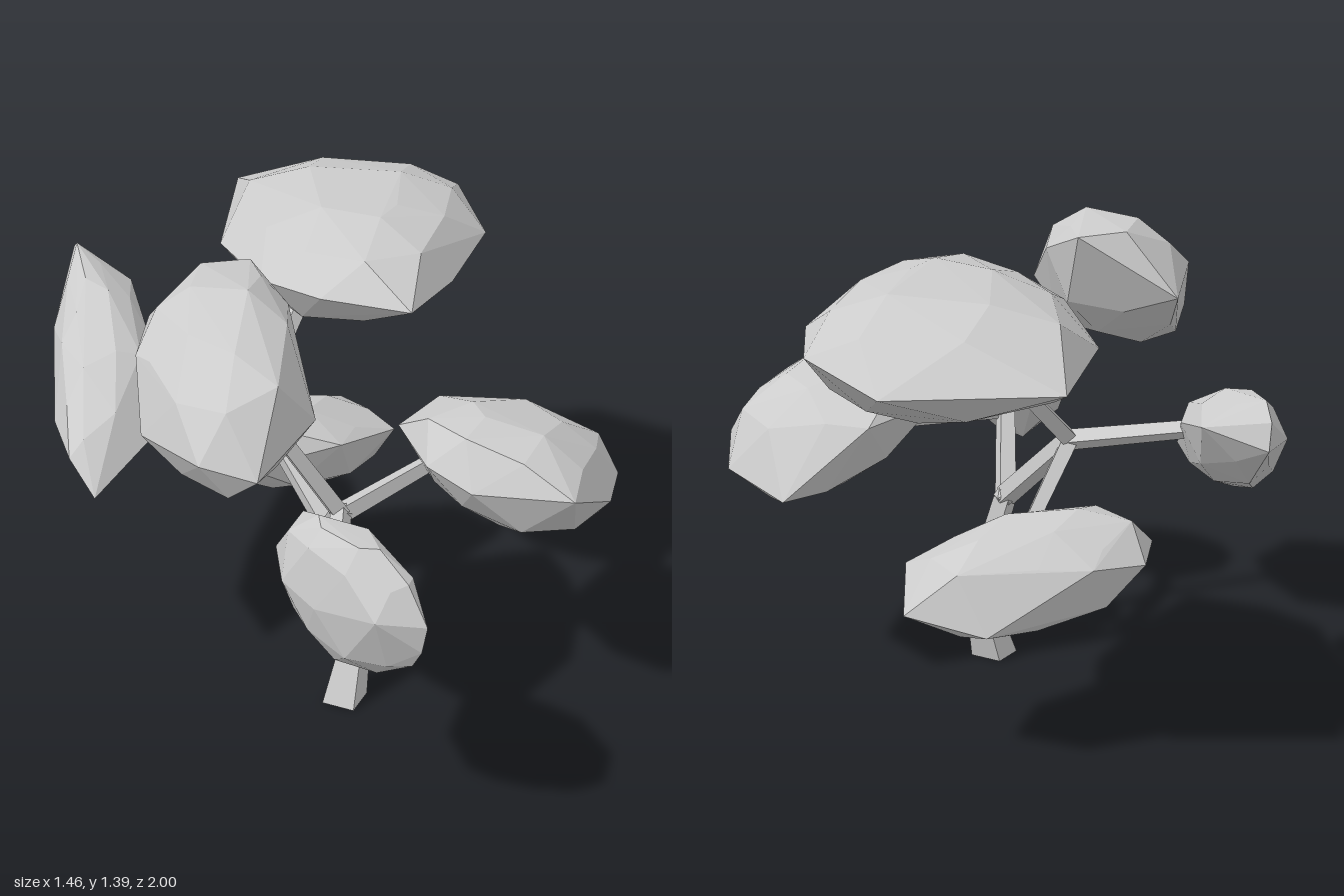
import * as THREE from 'three';
import { ConvexGeometry } from 'three/addons/geometries/ConvexGeometry.js';

const material = new THREE.MeshStandardMaterial({ color: 0xcccccc, flatShading: true, side: THREE.DoubleSide });
const V = (p) => new THREE.Vector3(...p);

function addMesh(parent, name, geometry) {
  const mesh = new THREE.Mesh(geometry, material);
  mesh.name = name;
  parent.add(mesh);
  return mesh;
}

// Upright trunk piece: four sides, level ends, sheared from one centre to the next
function trunkPiece(parent, a, b, ra, rb) {
  const h = b[1] - a[1];
  const g = new THREE.CylinderGeometry(rb, ra, h, 4, 1).rotateY(-0.1);
  const pos = g.attributes.position;
  for (let i = 0; i < pos.count; i++) {
    const t = pos.getY(i) / h + 0.5;
    pos.setXYZ(i,
      pos.getX(i) + a[0] + (b[0] - a[0]) * t,
      a[1] + h * t,
      pos.getZ(i) + a[2] + (b[2] - a[2]) * t);
  }
  addMesh(parent, 'trunk', g);
}

// Slender four-sided limb between two points
function limb(parent, a, b, ra, rb) {
  const from = V(a), to = V(b), dir = to.clone().sub(from);
  const g = new THREE.CylinderGeometry(rb, ra, dir.length(), 4, 1).rotateY(Math.PI / 4);
  const mesh = addMesh(parent, 'branch', g);
  mesh.position.copy(from).lerp(to, 0.5);
  mesh.quaternion.setFromUnitVectors(new THREE.Vector3(0, 1, 0), dir.normalize());
}

// Faceted leaf clump: a plan outline on a tilted plane, domed above (up) and below (down).
// Outline corners are [x, z, lift off the plane]; full is the size of the shoulder rings.
function clump(parent, name, { y, up, down, tilt, full, ring }) {
  const box = new THREE.Box2().setFromPoints(ring.map(([x, z]) => new THREE.Vector2(x, z)));
  const c = box.getCenter(new THREE.Vector2());
  const points = [];
  const put = (x, z, lift) => {
    points.push(V([x, y + tilt[0] * (x - c.x) + tilt[1] * (z - c.y) + lift, z]));
  };
  ring.forEach(([x, z, lift], i) => {
    const [nx, nz] = ring[(i + 1) % ring.length];
    put(x, z, lift);
    // shoulder rings sit between the outline corners, crown rings near the middle
    for (const side of [-1, 1]) {
      const h = side > 0 ? up : -down;
      const s = full + 0.04 * Math.sin(i * 2.4 + side);
      put(c.x + ((x + nx) / 2 - c.x) * s, c.y + ((z + nz) / 2 - c.y) * s,
        h * (0.62 + 0.07 * Math.sin(i * 1.7 + side * 2)));
      if (i % 2 === (side > 0 ? 0 : 1)) {
        put(c.x + (x - c.x) * 0.4, c.y + (z - c.y) * 0.4, h * (0.97 + 0.03 * Math.sin(i * 3)));
      }
    }
  });
  addMesh(parent, name, new ConvexGeometry(points));
}

export function createModel() {
  const tree = new THREE.Group();
  tree.name = 'tree';

  // Trunk with a kink, splitting at the fork
  const base = [-0.065, 0, 0.21], kink = [0.003, 0.24, 0.17], fork = [-0.07, 0.54, 0.12];
  trunkPiece(tree, base, kink, 0.071, 0.041);
  trunkPiece(tree, kink, fork, 0.041, 0.037);

  // Two main boughs, each ending in three twigs that carry the clumps
  const boughs = [
    { hub: [-0.14, 0.81, -0.23], tips: [[0.12, 1.08, -0.39], [-0.4, 0.9, -0.52], [0.03, 0.61, -0.36]] },
    { hub: [-0.15, 0.74, 0.35], tips: [[0.2, 0.77, 0.25], [-0.26, 0.74, 0.55], [-0.34, 1.05, 0.31]] },
  ];
  for (const { hub, tips } of boughs) {
    limb(tree, fork, hub, 0.035, 0.032);
    addMesh(tree, 'branchJoint', new THREE.IcosahedronGeometry(0.033, 0)).position.set(...hub);
    for (const tip of tips) limb(tree, hub, tip, 0.031, 0.026);
  }
  addMesh(tree, 'forkJoint', new THREE.IcosahedronGeometry(0.037, 0)).position.set(...fork);

  // Leaf clumps
  clump(tree, 'largeTopClump', {
    y: 1.195, up: 0.15, down: 0.18, tilt: [0, 0.04], full: 0.8,
    ring: [[0.15, 0.19, 0], [-0.04, 0, 0.01], [-0.13, -0.2, 0.01], [-0.09, -0.57, -0.02], [0.16, -0.99, 0],
      [0.6, -0.83, -0.02], [0.715, -0.56, 0.02], [0.62, -0.22, 0], [0.38, 0.01, -0.02]],
  });
  clump(tree, 'upperFrontClump', {
    y: 1.17, up: 0.19, down: 0.19, tilt: [0.3, -0.14], full: 0.84,
    ring: [[-0.48, -0.19, -0.03], [-0.22, -0.07, 0.08], [-0.19, 0.11, 0.03], [-0.28, 0.46, -0.06],
      [-0.52, 0.61, -0.02], [-0.64, 0.51, 0.03], [-0.68, 0.22, -0.04], [-0.63, 0.08, 0.09]],
  });
  clump(tree, 'backBladeClump', {
    y: 0.87, up: 0.135, down: 0.135, tilt: [0.25, -0.28], full: 0.81,
    ring: [[-0.39, -1, -0.05], [-0.4, -0.99, 0.03], [-0.29, -0.8, 0], [-0.34, -0.55, 0.02], [-0.47, -0.23, -0.02],
      [-0.7, -0.11, -0.01], [-0.73, -0.22, 0.05], [-0.69, -0.44, -0.02], [-0.57, -0.74, 0.01]],
  });
  clump(tree, 'sideClump', {
    y: 0.765, up: 0.165, down: 0.17, tilt: [-0.27, 0.06], full: 0.82,
    ring: [[0.14, 0.14, 0.02], [0.38, 0.02, 0.07], [0.63, 0.05, -0.07], [0.73, 0.3, -0.02], [0.68, 0.47, 0.02],
      [0.58, 0.59, -0.02], [0.37, 0.73, 0.04], [0.15, 0.55, -0.02], [0.09, 0.4, 0]],
  });
  clump(tree, 'frontClump', {
    y: 0.75, up: 0.195, down: 0.2, tilt: [-0.1, 0], full: 0.82,
    ring: [[-0.41, 0.48, 0.02], [-0.28, 0.46, -0.02], [-0.18, 0.74, 0.02], [-0.19, 0.88, -0.03],
      [-0.23, 1, 0.03], [-0.24, 0.99, -0.05], [-0.35, 0.94, 0.03], [-0.43, 0.75, -0.02], [-0.46, 0.62, 0]],
  });
  clump(tree, 'lowBackClump', {
    y: 0.52, up: 0.14, down: 0.14, tilt: [-0.15, 0.12], full: 0.82,
    ring: [[-0.31, -0.44, -0.02], [-0.22, -0.61, 0.01], [-0.05, -0.655, 0.06], [0.25, -0.64, -0.06],
      [0.44, -0.5, -0.01], [0.38, -0.33, 0.05], [0.15, -0.24, 0.05], [-0.14, -0.28, -0.02]],
  });
  return tree;
}
